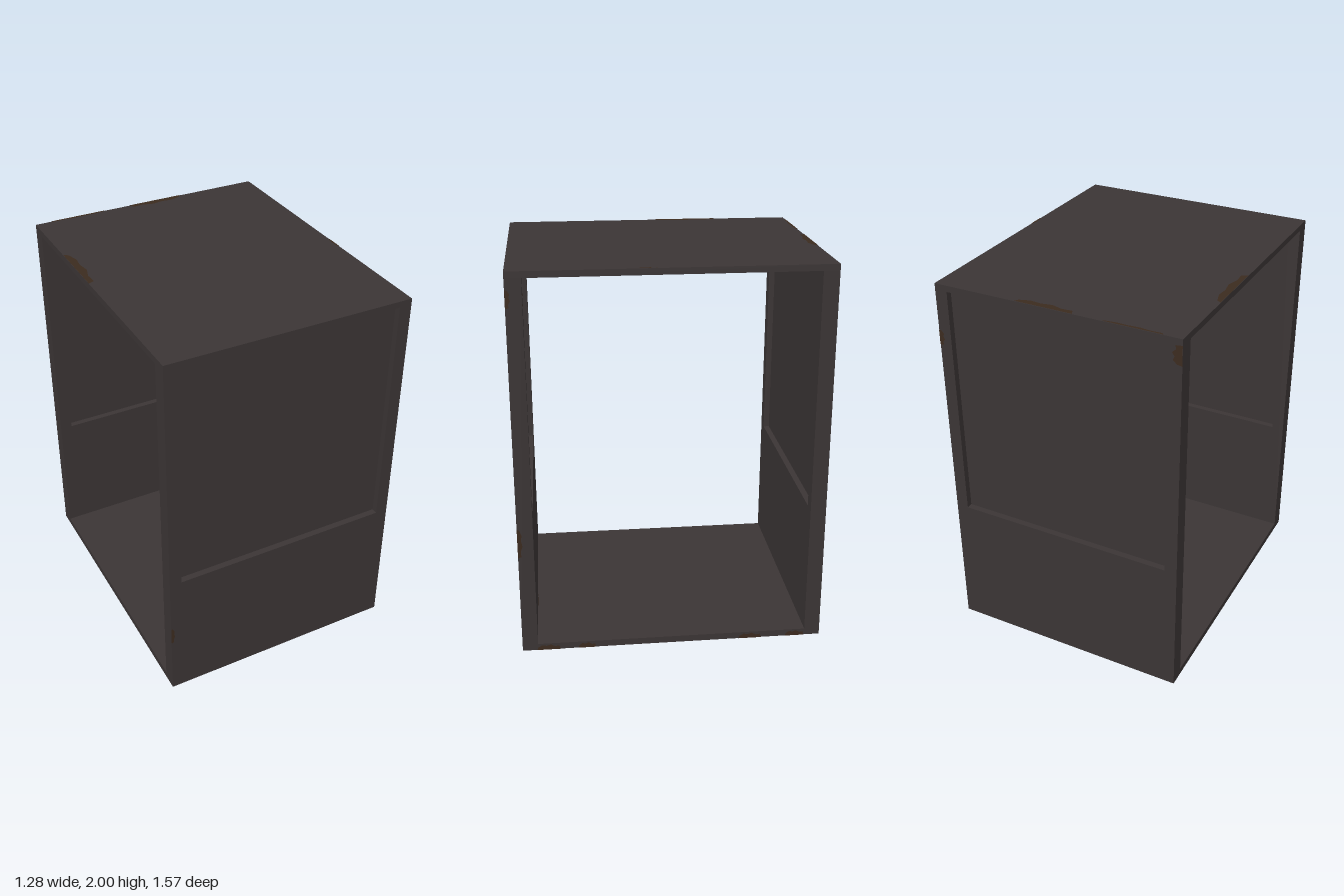
import * as THREE from 'three';

export function createModel() {
  const model = new THREE.Group();
  model.name = 'openCabinet';
  const steel = new THREE.MeshStandardMaterial({ name: 'dark steel', color: 0x3b3535 });
  const rust = new THREE.MeshStandardMaterial({ name: 'brown rust', color: 0x3c2b1f });

  const W = 0.64, D = 0.785, WALL = 0.08, FLOOR = 0.035, ROOF = 1.968;

  function add(name, geometry, material, x = 0, y = 0, z = 0) {
    const mesh = new THREE.Mesh(geometry, material);
    mesh.name = name;
    mesh.position.set(x, y, z);
    model.add(mesh);
    return mesh;
  }
  const box = (name, w, h, d, x, y, z) => add(name, new THREE.BoxGeometry(w, h, d), steel, x, y, z);

  // Floor and roof slabs
  box('floor', 2 * W, FLOOR, 2 * D, 0, FLOOR / 2, 0);
  box('roof', 2 * W, 2 - ROOF, 2 * D, 0, (2 + ROOF) / 2, 0);

  // Front and back walls: a frame open up to the roof, with a thin recessed panel
  const P = 0.575, SILL = 0.728;
  const frame = new THREE.Shape([
    [-W, FLOOR], [W, FLOOR], [W, ROOF], [P, ROOF], [P, SILL], [-P, SILL], [-P, ROOF], [-W, ROOF],
  ].map(([x, y]) => new THREE.Vector2(x, y)));
  for (const [side, s] of [['front', 1], ['back', -1]]) {
    const z = s * (D - WALL / 2);
    add(side + 'Wall', new THREE.ExtrudeGeometry(frame, { depth: WALL, bevelEnabled: false }),
      steel, 0, 0, z - WALL / 2);
    box(side + 'Panel', 2 * P, ROOF - SILL, 0.015, 0, (ROOF + SILL) / 2, z);
  }

  // Ragged rust patches: straight along the bottom edge (length l), uneven on top (height h)
  function patch(l, h) {
    const s = new THREE.Shape();
    s.moveTo(-l / 2, 0);
    s.lineTo(l / 2, 0);
    [0.7, 0.6, 1, 0.75, 0.9, 0.5].forEach((k, i) => s.lineTo(l * (0.46 - i * 0.184), h * k));
    return new THREE.ShapeGeometry(s);
  }
  // Each patch: position of its straight edge, direction it grows, face normal
  function stain(l, h, pos, grow, normal) {
    const y = new THREE.Vector3(...grow), z = new THREE.Vector3(...normal);
    const x = new THREE.Vector3().crossVectors(y, z);
    const mesh = add('rustPatch', patch(l, h), rust, ...pos);
    mesh.quaternion.setFromRotationMatrix(new THREE.Matrix4().makeBasis(x, y, z));
    mesh.position.addScaledVector(z, 0.002);
  }
  const X = [1, 0, 0], NX = [-1, 0, 0], Y = [0, 1, 0], Z = [0, 0, 1], NZ = [0, 0, -1];

  // Roof edges
  stain(0.3, 0.04, [0.05, 2, -D], Z, Y);
  stain(0.3, 0.015, [-0.4, 2, -D], Z, Y);
  stain(0.34, 0.045, [-W, 2, -0.21], X, Y);
  stain(0.09, 0.012, [W, 2, 0.12], NX, Y);
  // Floor rim
  for (const [l, z] of [[0.12, 0.65], [0.09, 0.45], [0.12, -0.41], [0.1, -0.65]]) {
    stain(l, 0.03, [W, 0, z], Y, X);
  }
  // Front posts
  stain(0.16, 0.025, [W, 0.62, D], NZ, X);
  stain(0.09, 0.025, [W, 1.87, D], NZ, X);
  stain(0.1, 0.02, [-W, 0.38, D], X, Z);
  // Back posts
  stain(0.1, 0.05, [-W, 1.92, -D], X, NZ);
  stain(0.08, 0.03, [W, 1.72, -D], NX, NZ);
  // Inside of the front wall
  stain(0.14, 0.06, [0.26, FLOOR, D - WALL], Y, NZ);
  stain(0.1, 0.03, [W, 1.88, D - WALL], NX, NZ);

  return model;
}
